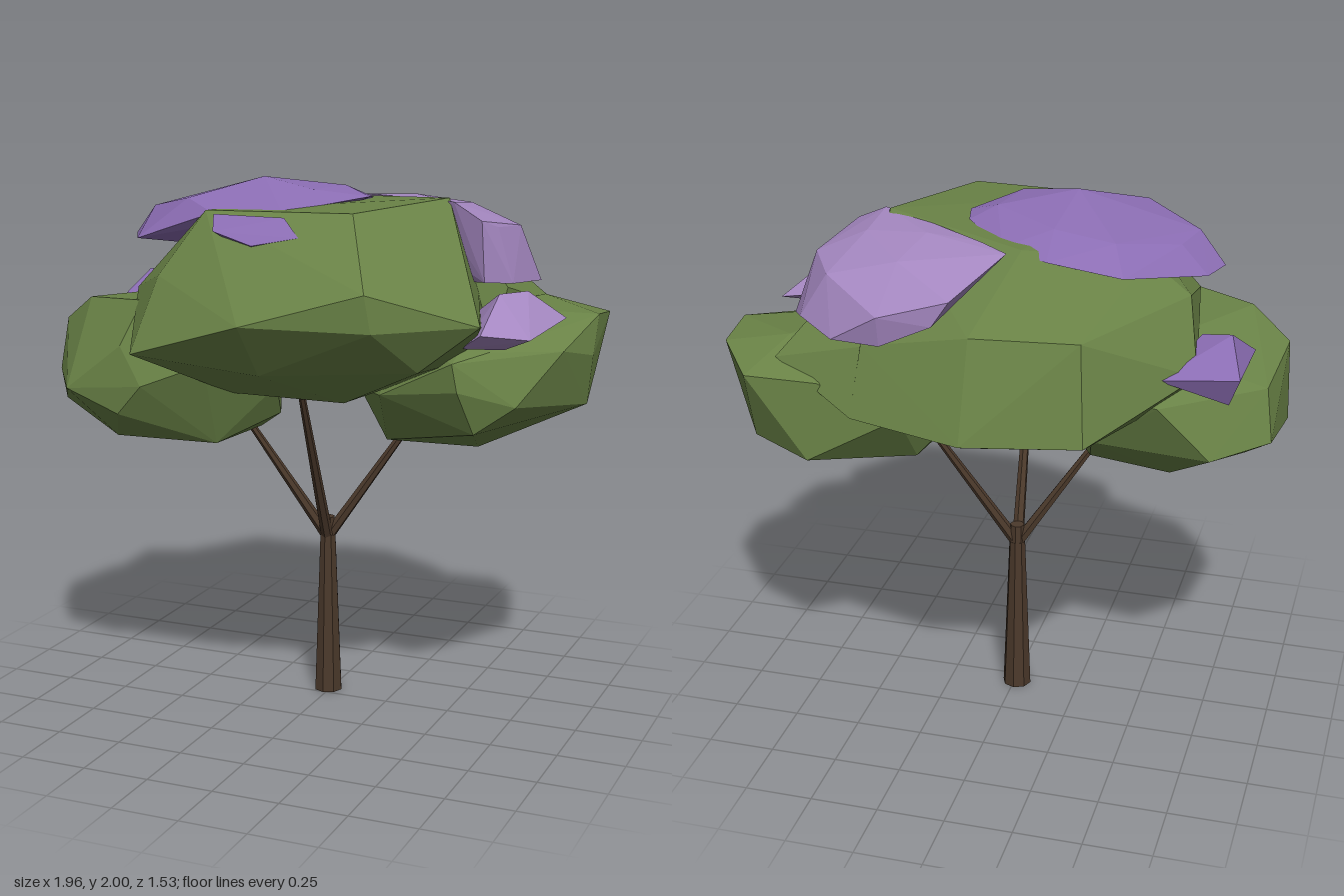
import * as THREE from 'three';
import { ConvexGeometry } from 'three/addons/geometries/ConvexGeometry.js';

const paint = (name, color) => Object.assign(new THREE.MeshStandardMaterial({ color }), { name });

export function createModel() {
  const tree = new THREE.Group();
  tree.name = 'tree';
  const bark = paint('bark', 0x4b392b);
  const leaf = paint('leafGreen', 0x698246);
  const violet = paint('violetBlossom', 0x8b6db3);
  const lilac = paint('lilacBlossom', 0xa487c0);

  const add = (name, geometry, material) => {
    const mesh = new THREE.Mesh(geometry, material);
    mesh.name = name;
    tree.add(mesh);
  };

  // faceted clump wrapped around a few corner points
  const clump = (name, material, corners) =>
    add(name, new ConvexGeometry(corners.map((c) => new THREE.Vector3(...c))), material);

  // tapered, flat-sided limb between two points
  const limb = (name, from, to, r0, r1, sides) => {
    const a = new THREE.Vector3(...from);
    const d = new THREE.Vector3(...to).sub(a);
    const g = new THREE.CylinderGeometry(r1, r0, d.length(), sides).toNonIndexed();
    g.computeVertexNormals();
    g.translate(0, d.length() / 2, 0);
    g.applyQuaternion(new THREE.Quaternion().setFromUnitVectors(new THREE.Vector3(0, 1, 0), d.normalize()));
    g.translate(a.x, a.y, a.z);
    add(name, g, bark);
  };

  // trunk and its three branches
  limb('trunk', [-0.01, 0, -0.05], [-0.01, 0.63, -0.045], 0.055, 0.031, 8);
  limb('trunkTop', [-0.01, 0.6, -0.045], [-0.01, 0.7, -0.045], 0.031, 0.027, 8);
  limb('rightBranch', [-0.01, 0.62, -0.045], [-0.33, 1.1, 0.035], 0.023, 0.012, 6);
  limb('leftBranch', [-0.01, 0.62, -0.045], [0.32, 1.11, -0.11], 0.023, 0.013, 6);
  limb('frontBranch', [-0.01, 0.62, -0.04], [0.03, 1.28, 0.31], 0.023, 0.012, 6);

  // central canopy: crown, shoulders, tilted rim, underside
  clump('centralCanopy', leaf, [
    [-0.3, 1.9, 0.38], [0.26, 1.91, 0.38], [0.45, 1.93, -0.08], [-0.1, 1.9, -0.32], [-0.5, 1.83, -0.1],
    [-0.38, 1.7, -0.62], [0, 1.69, -0.64], [0.4, 1.6, -0.58], [-0.66, 1.73, -0.15], [-0.62, 1.6, 0.3],
    [-0.42, 1.68, 0.52],
    [0, 1.35, -0.77], [-0.41, 1.36, -0.7], [0.42, 1.36, -0.66], [0.73, 1.55, 0.4],
    [0.42, 1.68, 0.68], [0.44, 1.55, 0.67], [0, 1.56, 0.765], [-0.46, 1.42, 0.67], [-0.72, 1.5, -0.32],
    [-0.53, 1.4, 0.5], [0.01, 1.37, 0.62], [0.53, 1.39, 0.46], [0.56, 1.36, 0], [-0.62, 1.31, -0.06],
    [-0.25, 1.23, 0.3], [0.2, 1.23, 0.31], [0.3, 1.24, -0.3], [-0.3, 1.24, -0.3], [0, 1.28, -0.62],
  ]);

  // back corner of the central canopy
  clump('backCorner', leaf, [
    [0.74, 1.5, -0.52], [0.42, 1.36, -0.66], [0.45, 1.86, -0.15], [0.38, 1.6, -0.58], [0.6, 1.4, -0.15],
    [0.64, 1.6, -0.2], [0.3, 1.26, -0.3],
  ]);

  // lower canopy on the -x side
  clump('rightCanopy', leaf, [
    [-0.97, 1.45, 0.22], [-0.94, 1.4, -0.12], [-0.82, 1.55, 0.3], [-0.54, 1.57, 0.42], [-0.52, 1.55, -0.2],
    [-0.96, 1.27, 0.3], [-0.98, 1.14, 0.23], [-0.97, 1.22, -0.18], [-0.82, 1.24, 0.5], [-0.6, 1.41, 0.49],
    [-0.51, 1.27, 0.51], [-0.61, 1.16, 0.5], [-0.84, 1.03, 0.12], [-0.7, 1.04, 0.34], [-0.32, 1.03, 0.28],
    [-0.29, 1.03, -0.05], [-0.6, 1.02, -0.1], [-0.13, 1.13, 0.12], [-0.11, 1.25, 0.2], [-0.3, 1.35, 0.42],
    [-0.78, 1.2, -0.35], [-0.6, 1.4, -0.4], [-0.35, 1.2, -0.3], [-0.33, 1.42, -0.36], [-0.2, 1.45, 0],
  ]);

  // lower canopy on the +x side
  clump('leftCanopy', leaf, [
    [0.98, 1.52, -0.22], [0.97, 1.5, -0.42], [0.98, 1.38, -0.15], [0.95, 1.19, -0.2], [0.92, 1.42, 0.03],
    [0.83, 1.45, -0.6], [0.56, 1.45, -0.6], [0.72, 1.55, -0.42], [0.6, 1.54, -0.1], [0.7, 1.43, 0.2],
    [0.6, 1.4, 0.31], [0.62, 1.3, 0.31], [0.8, 1.24, 0.2], [0.66, 1.14, 0.24], [0.27, 1.05, 0.06],
    [0.55, 1, -0.16], [0.3, 1.07, -0.3], [0.14, 1.22, 0], [0.3, 1.25, 0.22], [0.6, 1.16, -0.62],
    [0.84, 1.18, -0.5], [0.3, 1.3, -0.5], [0.25, 1.45, -0.1],
  ]);

  // blossoms on the crown
  clump('crownBlossom', violet, [
    [-0.74, 1.77, 0.08], [-0.61, 1.78, 0.32], [-0.28, 1.89, 0.37], [-0.02, 1.9, 0.35], [0.17, 1.93, -0.01],
    [0.15, 1.92, -0.1], [-0.02, 1.89, -0.28], [-0.19, 1.87, -0.34], [-0.45, 1.82, -0.3], [-0.7, 1.77, -0.05],
    [-0.64, 1.88, 0.12], [-0.6, 1.87, -0.03], [-0.4, 1.91, -0.2], [-0.18, 1.94, -0.19], [-0.2, 2, 0.1],
    [0.06, 1.965, -0.05], [0.02, 1.965, 0.16], [-0.42, 1.93, 0.28], [-0.3, 1.72, 0],
  ]);
  clump('frontBlossom', violet, [
    [-0.26, 1.89, 0.4], [-0.22, 1.84, 0.49], [-0.06, 1.8, 0.52], [0.1, 1.83, 0.48], [0.02, 1.89, 0.42],
    [-0.1, 1.75, 0.4],
  ]);
  clump('backBlossom', lilac, [
    [-0.06, 1.9, -0.37], [0.08, 1.79, -0.59], [0.32, 1.73, -0.64], [0.14, 1.7, -0.6], [0.32, 1.62, -0.62],
    [0.5, 1.62, -0.6], [0.65, 1.65, -0.49], [0.72, 1.61, -0.36], [0.69, 1.63, -0.1], [0.61, 1.64, -0.01],
    [0.6, 1.86, 0], [0.48, 1.92, -0.04], [0.66, 1.82, -0.28], [0.63, 1.83, -0.1], [0.48, 1.9, -0.25],
    [0.25, 1.92, -0.28], [0.3, 1.87, -0.46], [0.55, 1.81, -0.48], [0.37, 1.92, -0.1], [0.05, 1.91, -0.3],
    [0.3, 1.6, -0.3],
  ]);

  // blossoms on the side canopies
  clump('leftBlossom', lilac, [
    [0.72, 1.63, 0.16], [0.79, 1.63, 0.05], [0.91, 1.53, -0.03], [0.86, 1.49, 0.25], [0.71, 1.51, 0.34],
    [0.62, 1.45, 0.28], [0.61, 1.55, 0.05], [0.75, 1.44, 0.19],
  ]);
  clump('rightBlossom', violet, [
    [-0.81, 1.6, -0.15], [-0.7, 1.58, -0.12], [-0.87, 1.51, -0.34], [-0.6, 1.52, -0.43], [-0.87, 1.48, 0.03],
    [-0.69, 1.52, 0.02], [-0.83, 1.4, -0.3], [-0.6, 1.4, -0.1],
  ]);

  return tree;
}
